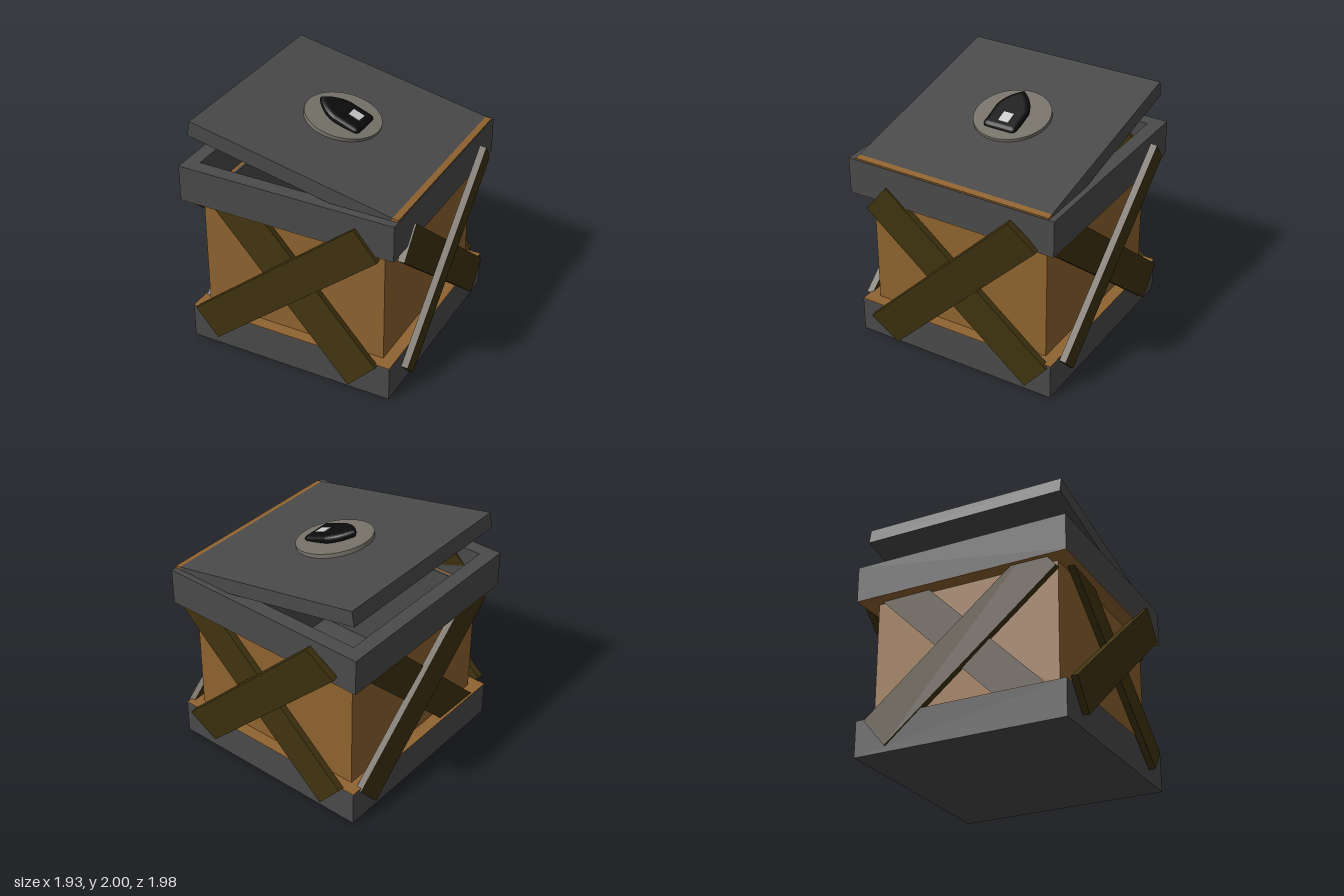
import * as THREE from 'three';

const mat = (color) => new THREE.MeshStandardMaterial({ color });
const grey = mat(0x4a4a4a), wood = mat(0x8f6330), darkWood = mat(0x40330f);
const stone = mat(0x77736a), black = mat(0x0c0c0c), pale = mat(0xcccccc);

// The crate body is centred slightly off the origin
const CX = -0.05, CZ = 0.02;

function add(parent, name, geometry, material, x = 0, y = 0, z = 0) {
  const mesh = new THREE.Mesh(geometry, material);
  mesh.name = name;
  mesh.position.set(x, y, z);
  parent.add(mesh);
  return mesh;
}

// Solid block around the crate centre, from y0 to y1
function block(parent, name, w, d, y0, y1, material) {
  return add(parent, name, new THREE.BoxGeometry(w, y1 - y0, d), material, CX, (y0 + y1) / 2, CZ);
}

// Square tube (outer size w x d) around the crate centre, from y0 to y1
function frame(parent, name, w, d, wall, y0, y1, material) {
  const rect = (P, a, b) => new P([[-a, -b], [a, -b], [a, b], [-a, b]].map(p => new THREE.Vector2(...p)));
  const shape = rect(THREE.Shape, w / 2, d / 2);
  shape.holes.push(rect(THREE.Path, w / 2 - wall, d / 2 - wall));
  const geometry = new THREE.ExtrudeGeometry(shape, { depth: y1 - y0, bevelEnabled: false });
  geometry.rotateX(-Math.PI / 2);
  return add(parent, name, geometry, material, CX, y0, CZ);
}

// Nailed-on planks: [across, height, outward, angle in degrees, roll, pitch]
const sides = [
  { name: 'frontPlanks', turn: 0, planks: [
    [-0.065, 0.81, 0.94, 39.7, 0, 0], [-0.03, 0.84, 0.89, -45, -0.12, -0.055]] },
  { name: 'leftPlanks', turn: Math.PI / 2, planks: [
    [0, 0.785, 0.89, 45, 0.16, -0.016], [0.03, 0.75, 0.845, -39.6, 0, 0.013]] },
  { name: 'backPlanks', turn: Math.PI, planks: [
    [0.035, 0.845, 0.917, 45, 0.16, -0.03], [0.03, 0.8, 0.872, -39.6, 0, -0.03]] },
  { name: 'rightPlanks', turn: -Math.PI / 2, planks: [
    [0.02, 0.76, 0.915, 39.7, 0, 0.013], [0, 0.82, 0.87, -45, 0, -0.03]] },
];

function buildPlanks(parent) {
  const geometry = new THREE.BoxGeometry(1.86, 0.305, 0.055);
  for (const side of sides) {
    const group = new THREE.Group();
    group.name = side.name;
    group.rotation.y = side.turn;
    for (const [u, y, d, angle, roll, pitch] of side.planks) {
      const plank = add(group, 'plank', geometry, darkWood, u, y, d);
      plank.rotation.set(roll, pitch, THREE.MathUtils.degToRad(angle), 'ZYX');
    }
    parent.add(group);
  }
}

function buildLid(parent) {
  const lid = new THREE.Group();
  lid.name = 'lid';
  lid.position.set(0.82, 1.65, 0.01);
  lid.rotation.z = -0.202;
  add(lid, 'lidPanel', new THREE.BoxGeometry(1.745, 0.128, 1.72), grey, -0.8725, -0.064, 0);
  add(lid, 'lidEdge', new THREE.BoxGeometry(0.05, 0.128, 1.72), wood, 0.025, -0.064, 0);
  const disc = add(lid, 'disc', new THREE.CylinderGeometry(0.312, 0.312, 0.035, 48), stone, -0.878, 0.014, -0.005);
  disc.rotation.z = -0.025;
  parent.add(lid);
}

// Pointed, rounded clasp resting on the disc
function buildClasp(parent) {
  const clasp = new THREE.Group();
  clasp.name = 'clasp';
  clasp.position.set(-0.03, 1.882, 0.012);
  clasp.rotation.z = -0.365;
  const s = new THREE.Shape();
  s.moveTo(-0.22, 0);
  s.quadraticCurveTo(-0.14, -0.12, -0.02, -0.146);
  s.lineTo(0.17, -0.146);
  s.quadraticCurveTo(0.212, -0.146, 0.212, -0.1);
  s.lineTo(0.212, 0.1);
  s.quadraticCurveTo(0.212, 0.146, 0.17, 0.146);
  s.lineTo(-0.02, 0.146);
  s.quadraticCurveTo(-0.14, 0.12, -0.22, 0);
  const geometry = new THREE.ExtrudeGeometry(s, {
    depth: 0.01, bevelThickness: 0.03, bevelSize: 0.045, bevelOffset: -0.045, bevelSegments: 5, curveSegments: 8,
  });
  geometry.translate(0, 0, -0.005);
  geometry.rotateX(-Math.PI / 2);
  add(clasp, 'claspBody', geometry, black);
  add(clasp, 'claspPlate', new THREE.BoxGeometry(0.1, 0.012, 0.09), pale, 0.1, 0.033, -0.016);
  parent.add(clasp);
}

export function createModel() {
  const crate = new THREE.Group();
  crate.name = 'crate';

  // Base with a wooden ledge on top
  block(crate, 'base', 1.78, 1.78, 0, 0.295, grey);
  block(crate, 'baseLedge', 1.78, 1.78, 0.295, 0.3, wood);

  // Hollow body with a grey lining and floor
  frame(crate, 'body', 1.58, 1.58, 0.02, 0.3, 1.33, wood);
  frame(crate, 'lining', 1.54, 1.54, 0.02, 0.3, 1.33, grey);
  block(crate, 'floor', 1.5, 1.5, 0.3, 0.31, grey);

  // Rim with a wooden underside
  frame(crate, 'rim', 1.84, 1.835, 0.12, 1.325, 1.625, grey);
  frame(crate, 'rimUnderside', 1.84, 1.835, 0.13, 1.32, 1.325, wood);

  buildPlanks(crate);
  buildLid(crate);
  buildClasp(crate);
  return crate;
}
